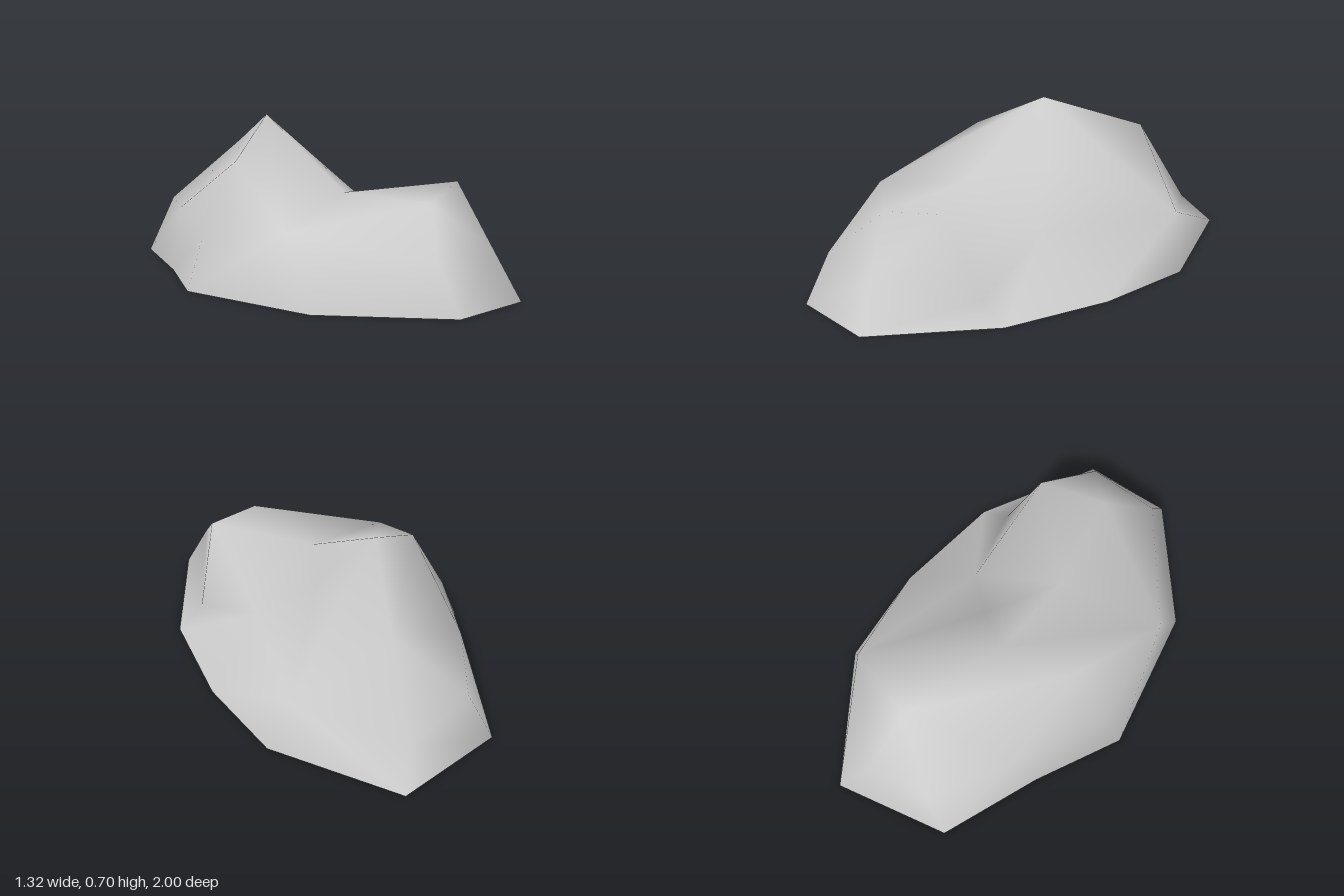
import * as THREE from 'three';

// Corners shared by several faces of the upper rock
const peak = [-0.21, 0.7, -0.15], ridge = [-0.22, 0.53, -0.62], spur = [0.03, 0.48, -0.1];
const shoulder = [0.48, 0.45, 0.43], brow = [0.27, 0.4, 0.65];
const dip = [0.02, 0.4, 0.28], crag = [-0.42, 0.53, 0.12];

// Corners of the lower rock that the rings pass twice
const flank = [0.2, 0.25, -0.665], flankFoot = [0.3, 0, -0.66];
const notch = [0.3, 0.23, -0.01], notchFoot = [0.52, 0, -0.26];
const cheek = [-0.34, 0.3, 0.6], cheekFoot = [-0.28, 0, 0.76];

// Rings from the ground to the peak, each running back, +x side, front, -x side.
// Repeated corners let the rings narrow into ridges and the dip.
const rings = [
  [[-0.24, 0, -1], flankFoot, flankFoot, notchFoot, notchFoot, [0.66, 0, 0.22], [0.61, 0, 0.81],
    [0.26, 0, 1], cheekFoot, cheekFoot, [-0.66, 0, 0.23], [-0.64, 0, -0.2], [-0.66, 0, -0.68]],
  [[-0.27, 0.13, -0.86], flank, flank, notch, notch, [0.55, 0.08, 0.29], [0.51, 0.21, 0.75],
    [0.21, 0.21, 0.89], cheek, cheek, [-0.58, 0.22, 0.17], [-0.58, 0.27, -0.29], [-0.54, 0.25, -0.69]],
  [ridge, ridge, peak, spur, dip, shoulder, shoulder, brow, dip, peak, crag, crag, ridge],
  [peak, peak, peak, peak, dip, dip, dip, dip, dip, peak, peak, peak, peak],
];

const distance = (a, b) => Math.hypot(a[0] - b[0], a[1] - b[1], a[2] - b[2]);

// Skin neighbouring rings, sharing corners for smooth normals
function skin(loops) {
  const corners = [...new Set(loops.flat())];
  const index = [];
  const triangle = (...t) => {
    if (new Set(t).size === 3) index.push(...t.map((p) => corners.indexOf(p)));
  };
  for (let r = 0; r < loops.length - 1; r++) {
    const low = loops[r], high = loops[r + 1];
    low.forEach((a, i) => {
      const j = (i + 1) % low.length;
      const b = low[j], c = high[j], d = high[i];
      // Fold each patch along its shorter diagonal
      if (distance(a, c) < distance(b, d)) {
        triangle(a, c, b);
        triangle(a, d, c);
      } else {
        triangle(a, d, b);
        triangle(b, d, c);
      }
    });
  }
  const geometry = new THREE.BufferGeometry();
  geometry.setAttribute('position', new THREE.Float32BufferAttribute(corners.flat(), 3));
  geometry.setIndex(index);
  geometry.computeVertexNormals();
  return geometry;
}

export function createModel() {
  const group = new THREE.Group();
  group.name = 'boulder';

  // Open underneath, so both sides show
  const stone = new THREE.MeshStandardMaterial({ color: 0xcccccc, side: THREE.DoubleSide });
  stone.name = 'stone grey';

  const rock = new THREE.Mesh(skin(rings), stone);
  rock.name = 'rock';
  group.add(rock);
  return group;
}
